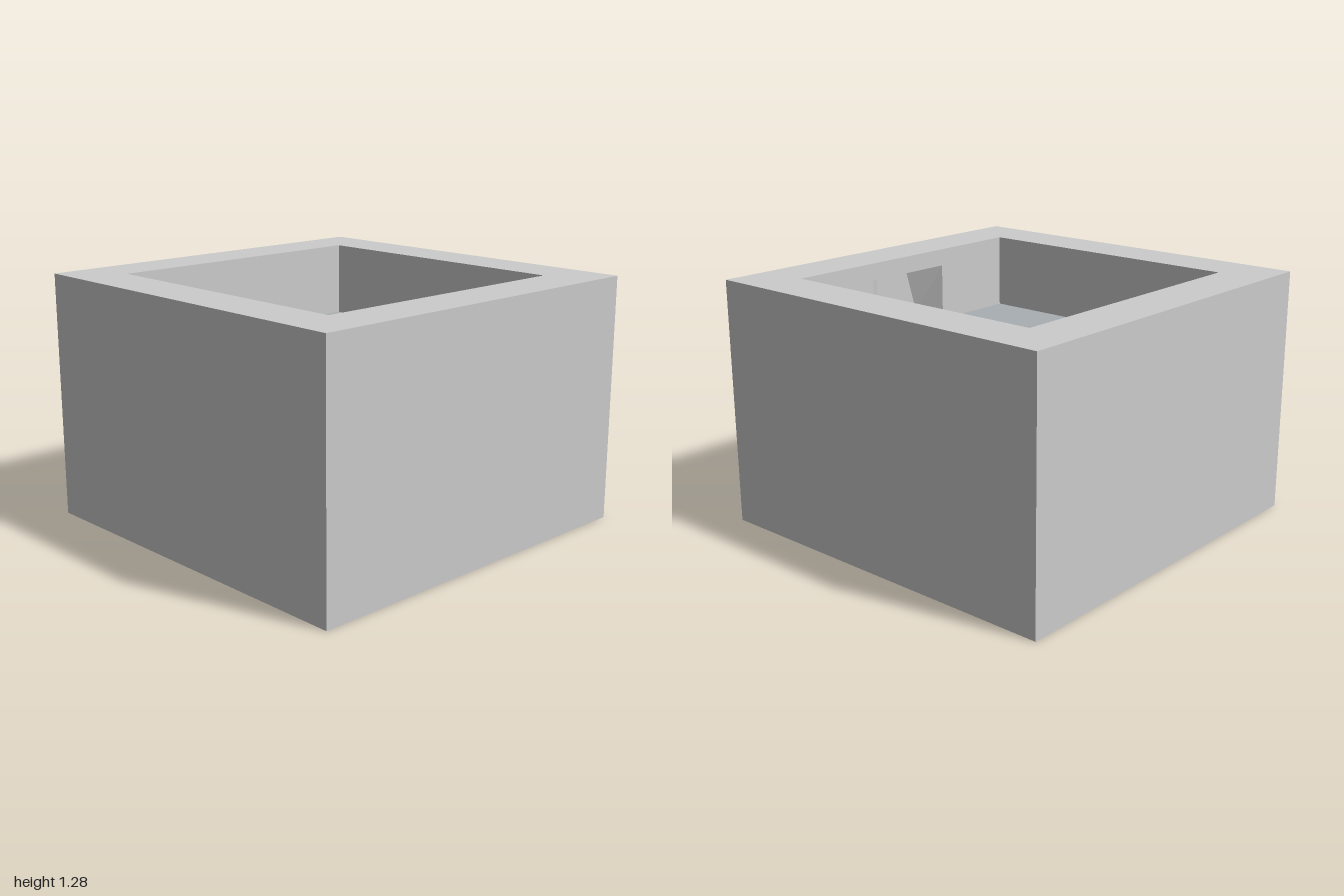
import * as THREE from 'three';

const H = 1.28;      // total height
const FLOOR = 0.885; // level of the tray floor
const IN = 0.74;     // half width of the tray opening
const CELL = 0.41;   // small square of the lattice
const BAR = 0.017;   // half thickness of a lattice bar

const grey = new THREE.MeshStandardMaterial({ color: 0xcccccc, flatShading: true });
const tint = new THREE.MeshStandardMaterial({ color: 0xa8afb3 });

function add(group, name, geometry, material = grey) {
  const mesh = new THREE.Mesh(geometry, material);
  mesh.name = name;
  group.add(mesh);
  return mesh;
}

function polygon(points, Type = THREE.Shape) {
  return new Type(points.map(([x, y]) => new THREE.Vector2(x, y)));
}

function rect(x0, y0, x1, y1, Type) {
  return polygon([[x0, y0], [x1, y0], [x1, y1], [x0, y1]], Type);
}

// Triangle shrunk towards its incentre so that a bar remains on every side
function insetTriangle(a, b, c) {
  const dist = (p, q) => Math.hypot(p[0] - q[0], p[1] - q[1]);
  const la = dist(b, c), lb = dist(c, a), lc = dist(a, b), per = la + lb + lc;
  const mid = [0, 1].map(i => (la * a[i] + lb * b[i] + lc * c[i]) / per);
  const area2 = Math.abs((b[0] - a[0]) * (c[1] - a[1]) - (b[1] - a[1]) * (c[0] - a[0]));
  const k = 1 - BAR / (area2 / per);
  return polygon([a, b, c].map(p => p.map((v, i) => mid[i] + (v - mid[i]) * k)), THREE.Path);
}

// Extrude a plan shape upwards
function extrudeUp(shape, depth) {
  return new THREE.ExtrudeGeometry(shape, { depth, bevelEnabled: false }).rotateX(-Math.PI / 2);
}

// Hemp-leaf lattice: eight right triangles round each star, each split in three
function latticeBlock() {
  const shape = rect(-1, -1, 1, 1);
  const r = CELL * (1 - Math.SQRT1_2);
  const star = [0, 0], corner = [CELL, CELL], middle = [CELL, 0], point = [CELL - r, r];
  const leaves = [[star, corner, point], [star, middle, point], [middle, corner, point]];
  for (const cx of [-CELL, CELL]) for (const cy of [-CELL, CELL])
    for (const sx of [-1, 1]) for (const sy of [-1, 1]) for (const swap of [false, true])
      for (const leaf of leaves) {
        const place = ([x, y]) => swap ? [cx + sx * y, cy + sy * x] : [cx + sx * x, cy + sy * y];
        shape.holes.push(insetTriangle(...leaf.map(place)));
      }
  return extrudeUp(shape, FLOOR);
}

// Inner half of the right wall, with a niche that narrows with depth
function nicheWall(depth) {
  const y0 = 0.92, y1 = 1.19, half = 0.26;
  const shape = rect(-IN, FLOOR, IN, H);
  shape.holes.push(rect(-half, y0, half, y1, THREE.Path));
  const geo = new THREE.ExtrudeGeometry(shape, { depth, bevelEnabled: false });
  const p = geo.attributes.position;
  for (let i = 0; i < p.count; i++) {
    if (p.getZ(i) < depth / 2 || Math.abs(p.getX(i)) > half + 0.01) continue;
    const upper = p.getY(i) > (y0 + y1) / 2;
    p.setX(i, Math.sign(p.getX(i)) * (upper ? 0.1 : 0.18));
  }
  geo.computeVertexNormals();
  return geo.rotateY(Math.PI / 2).translate(IN, 0, 0);
}

export function createModel() {
  const model = new THREE.Group();
  model.name = 'latticeBox';

  add(model, 'latticeBase', latticeBlock());

  // Upper rim, cut back on one side to take the niche wall
  const depth = 0.13;
  const rim = rect(-1, -1, 1, 1);
  rim.holes.push(rect(-IN, -IN, IN + depth, IN, THREE.Path));
  add(model, 'rim', extrudeUp(rim, H - FLOOR)).position.y = FLOOR;
  add(model, 'nicheWall', nicheWall(depth));

  // Tray floor
  const floor = add(model, 'trayFloor', new THREE.BoxGeometry(2 * IN, 0.01, 2 * IN), tint);
  floor.position.y = FLOOR - 0.003;

  return model;
}
